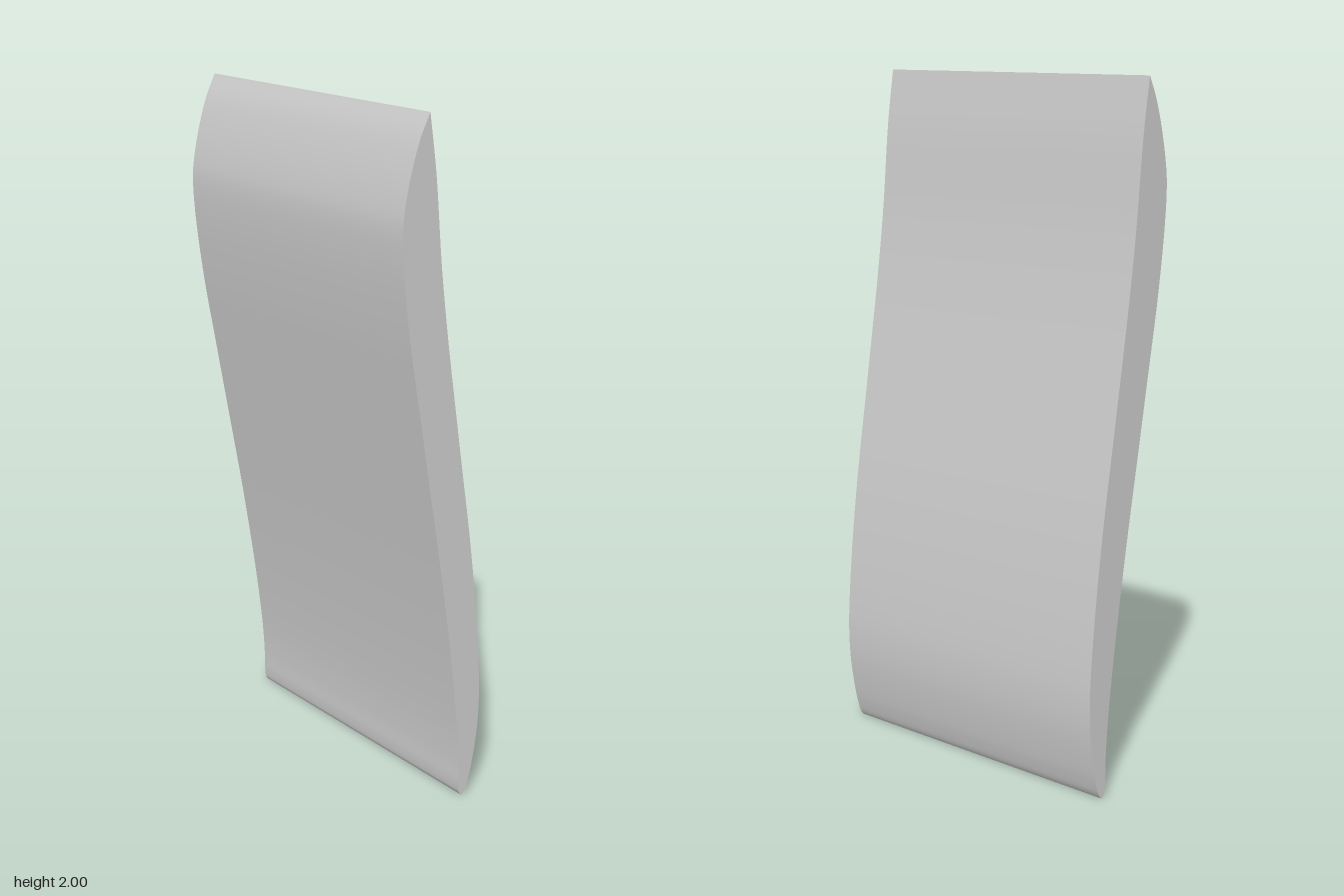
import * as THREE from 'three';
import { toCreasedNormals } from 'three/addons/utils/BufferGeometryUtils.js';

const DEPTH = 0.955;

// Section from the sharp top edge, down the left face, round the foot and up the right face
const SECTION = [
  [-0.07, 2], [-0.1, 1.94], [-0.127, 1.86], [-0.148, 1.77], [-0.155, 1.71], [-0.15, 1.6],
  [-0.124, 1.4], [-0.088, 1.2], [-0.048, 0.98], [0.003, 0.7], [0.05, 0.4],
  [0.074, 0.2], [0.08, 0.1], [0.081, 0.04], [0.086, 0.01], [0.095, 0],
  [0.107, 0.012], [0.121, 0.05], [0.133, 0.1], [0.149, 0.2], [0.154, 0.3],
  [0.148, 0.42], [0.13, 0.6], [0.103, 0.8], [0.07, 1], [0.037, 1.2],
  [0.005, 1.4], [-0.022, 1.6], [-0.046, 1.84],
  [-0.07, 2],
];

export function createModel() {
  const group = new THREE.Group();
  group.name = 'curvedBlade';

  const curve = new THREE.CatmullRomCurve3(
    SECTION.map(([x, y]) => new THREE.Vector3(x, y, 0)), false, 'centripetal');
  const points = curve.getPoints((SECTION.length - 1) * 5).map((p) => new THREE.Vector2(p.x, Math.max(0, p.y)));
  points.pop(); // the outline closes on its first point

  // Straight sweep along z, smooth round the section with sharp end caps
  const geometry = new THREE.ExtrudeGeometry(new THREE.Shape(points), {
    depth: DEPTH, bevelEnabled: false,
  });
  geometry.translate(0, 0, -DEPTH / 2);

  const blade = new THREE.Mesh(
    toCreasedNormals(geometry, Math.PI / 6),
    new THREE.MeshStandardMaterial({ color: 0xcccccc }));
  blade.name = 'blade';
  group.add(blade);
  return group;
}
